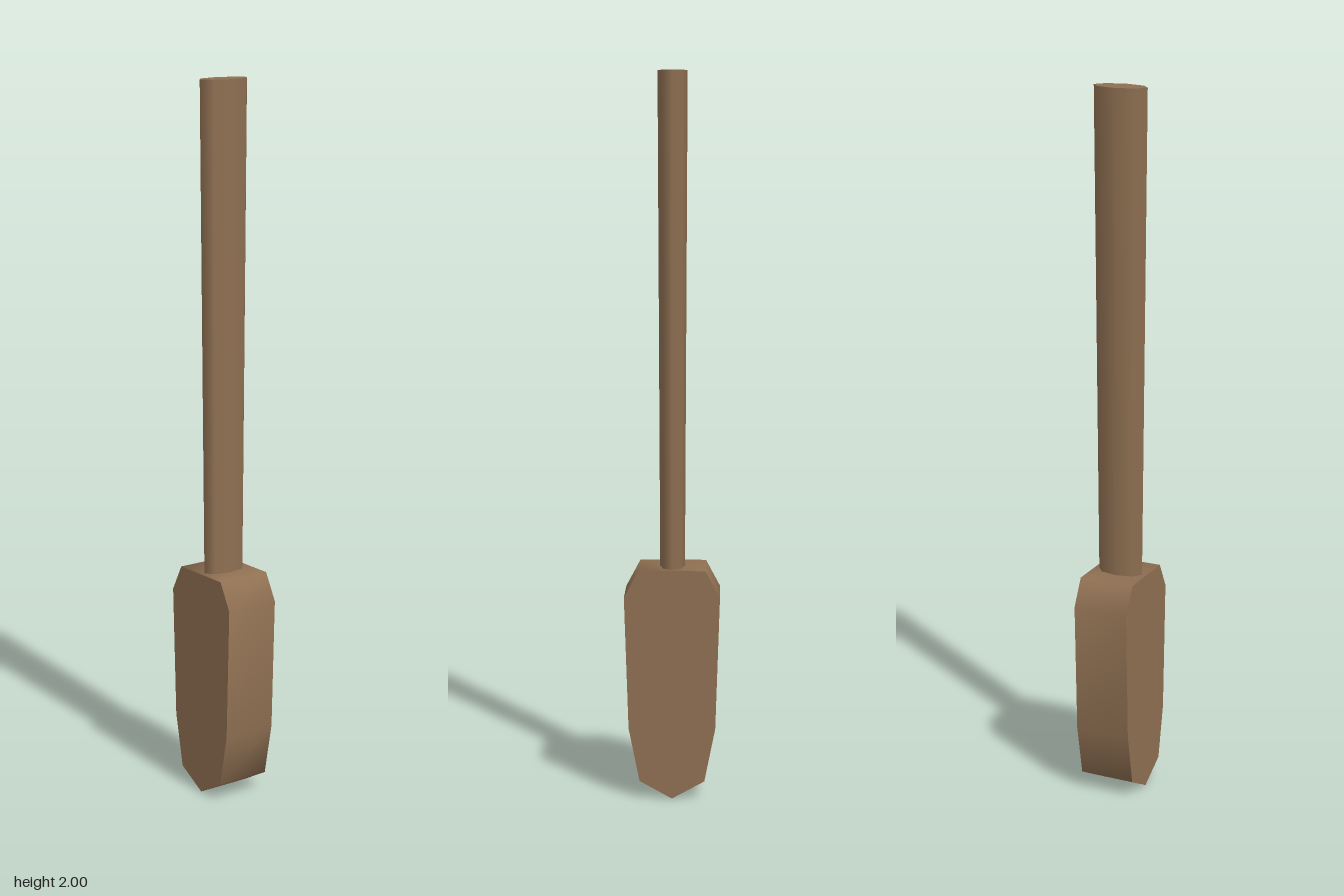
import * as THREE from 'three';
import { toCreasedNormals } from 'three/addons/utils/BufferGeometryUtils.js';

export function createModel() {
  const group = new THREE.Group();
  group.name = 'paddle';
  const wood = new THREE.MeshStandardMaterial({ color: 0x8f7052 });
  wood.name = 'brown wood';

  // Tapered handle with a flattened eight-sided section
  const bottom = 0.64, top = 2;
  const handleGeometry = new THREE.CylinderGeometry(0.078, 0.066, top - bottom, 8);
  handleGeometry.scale(0.52, 1, 1);
  const handle = new THREE.Mesh(handleGeometry, wood);
  handle.name = 'handle';
  handle.position.y = (top + bottom) / 2;
  group.add(handle);

  // Thick blade: mirrored outline, rounded shading along the rim, sharp front and back
  const half = [[0.09, 0.05], [0.12, 0.2], [0.132, 0.57], [0.092, 0.645]];
  const outline = [[0, 0], ...half, ...half.map(([x, y]) => [-x, y]).reverse()];
  const shape = new THREE.Shape(outline.map(([x, y]) => new THREE.Vector2(x, y)));
  const depth = 0.158;
  const bladeGeometry = new THREE.ExtrudeGeometry(shape, { depth, bevelEnabled: false });
  bladeGeometry.translate(0, 0, -depth / 2);
  const blade = new THREE.Mesh(toCreasedNormals(bladeGeometry, THREE.MathUtils.degToRad(75)), wood);
  blade.name = 'blade';
  group.add(blade);

  return group;
}
